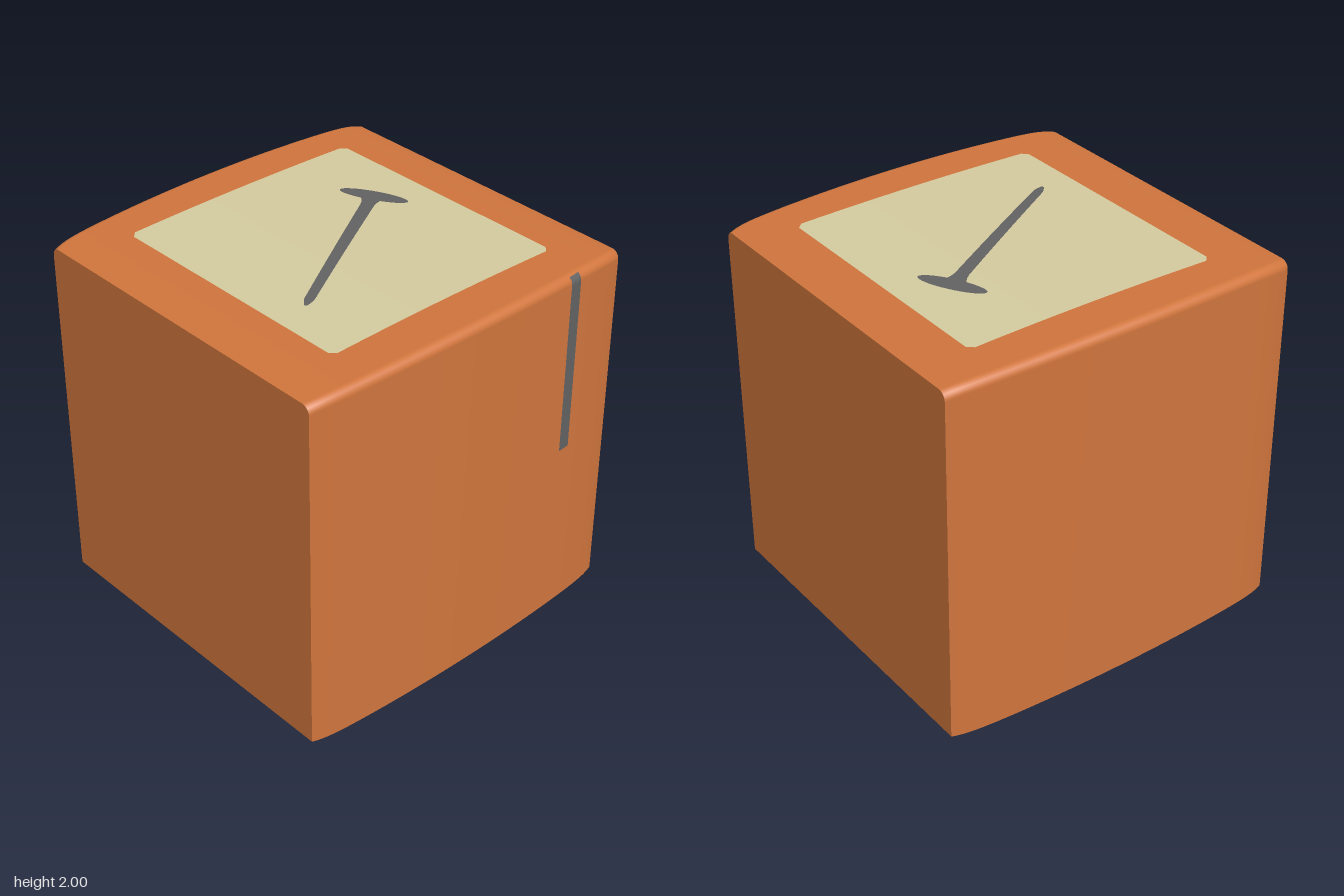
import * as THREE from 'three';

const R = 0.045; // rounding of the long upper edges
// Half width and top height of the gently bulging case at depth z
const halfWidth = z => 0.997 - 0.045 * z ** 2 - 0.017 * z ** 16;
const topHeight = z => 1.994 - 0.022 * z ** 2 - 0.015 * z ** 16;
const bottom = z => 0.008 * z ** 8;

// Cross-section from the lower right corner, over the top, to the lower left
function section(z) {
  const w = halfWidth(z), t = topHeight(z), pts = [[w, bottom(z)]];
  for (const side of [0, 1]) {
    for (let i = 0; i <= 6; i++) {
      const a = (side + i / 6) * Math.PI / 2;
      pts.push([(side ? -1 : 1) * (w - R) + R * Math.cos(a), t - R + R * Math.sin(a)]);
    }
  }
  pts.push([-w, bottom(z)]);
  return pts;
}

// Skin drawn through one cross-section per depth step
function loft(sectionAt, steps) {
  const pos = [], idx = [];
  let n = 0;
  for (let k = 0; k <= steps; k++) {
    const z = -Math.cos(Math.PI * k / steps);
    const pts = sectionAt(z);
    n = pts.length;
    for (const [x, y] of pts) pos.push(x, y, z);
  }
  for (let k = 0; k < steps; k++) {
    for (let i = 0; i < n - 1; i++) {
      const a = k * n + i, b = a + n;
      idx.push(a, a + 1, b, a + 1, b + 1, b);
    }
  }
  const g = new THREE.BufferGeometry();
  g.setAttribute('position', new THREE.Float32BufferAttribute(pos, 3));
  g.setIndex(idx);
  g.computeVertexNormals();
  return g;
}

// Move every vertex of a geometry by a rule
function reshape(g, rule) {
  const p = g.attributes.position;
  for (let i = 0; i < p.count; i++) p.setXYZ(i, ...rule(p.getX(i), p.getY(i), p.getZ(i)));
  g.computeVertexNormals();
  return g;
}

// Lay a flat geometry on the curved top
const drape = (g, lift) => reshape(g, (x, y, z) => [x, topHeight(z) + lift, z]);

export function createModel() {
  const model = new THREE.Group();
  const material = (name, color) => new THREE.MeshStandardMaterial({ name, color, side: THREE.DoubleSide });
  const orange = material('orange case', 0xd0753d);
  const cream = material('cream panel', 0xd4cb9f);
  const grey = material('dark grey', 0x626262);

  const add = (name, geometry, mat, parent = model) => {
    const mesh = new THREE.Mesh(geometry, mat);
    mesh.name = name;
    parent.add(mesh);
    return mesh;
  };

  // Case: bulging skin, underside and flat ends
  const body = new THREE.Group();
  body.name = 'case';
  model.add(body);
  add('caseSkin', loft(section, 48), orange, body);
  add('caseUnderside', loft(z => [[-halfWidth(z), bottom(z)], [halfWidth(z), bottom(z)]], 48), orange, body);
  const endShape = new THREE.Shape(section(1).map(([x, y]) => new THREE.Vector2(x, y)));
  add('frontFace', new THREE.ShapeGeometry(endShape), orange, body).position.z = 1;
  const back = add('backFace', new THREE.ShapeGeometry(endShape), orange, body);
  back.position.z = -1;
  back.rotation.y = Math.PI;

  // Cream panel with clipped corners
  const panel = new THREE.PlaneGeometry(1.47, 1.41, 1, 47).rotateX(-Math.PI / 2);
  reshape(panel, (x, y, z) => {
    const clip = Math.max(0, Math.abs(z) - 0.675);
    return [Math.sign(x) * (0.735 - clip) - 0.003, y, z - 0.025];
  });
  add('topPanel', drape(panel, 0.003), cream);

  // Pointer: tapered shaft, flared at the crossbar and pointed at the tip
  const pointer = new THREE.Group();
  pointer.name = 'pointer';
  model.add(pointer);
  const start = new THREE.Vector2(-0.225, -0.46), end = new THREE.Vector2(0.343, 0.495);
  const dir = end.clone().sub(start).normalize(), length = start.distanceTo(end);
  const shaft = new THREE.PlaneGeometry(2, 1, 1, 40).rotateX(-Math.PI / 2);
  reshape(shaft, (x, y, z) => {
    const s = z + 0.5;
    const flare = 0.04 * Math.max(0, 1 - s / 0.1) ** 2;
    const half = (0.036 - 0.012 * s + flare) * Math.min(1, 0.3 + (1 - s) / 0.06);
    return [start.x + dir.x * s * length + x * half * dir.y, y, start.y + dir.y * s * length - x * half * dir.x];
  });
  add('pointerShaft', drape(shaft, 0.006), grey, pointer);
  const bar = new THREE.CircleGeometry(1, 32).scale(0.182, 0.047, 1)
    .rotateX(-Math.PI / 2).rotateY(0.48).translate(-0.223, 0, -0.462);
  add('pointerCrossbar', drape(bar, 0.006), grey, pointer);

  // Narrow strip down the right side, following the rounded edge at its top
  const strip = new THREE.PlaneGeometry(0.068, 0.995, 4, 60).rotateY(Math.PI / 2).translate(0, 1.48, -0.647);
  reshape(strip, (x, y, z) => {
    const over = Math.min(R, Math.max(0, y - (topHeight(z) - R)));
    return [halfWidth(z) - R + Math.sqrt(R * R - over * over) + 0.003, y, z];
  });
  add('sideStrip', strip, grey);

  return model;
}
